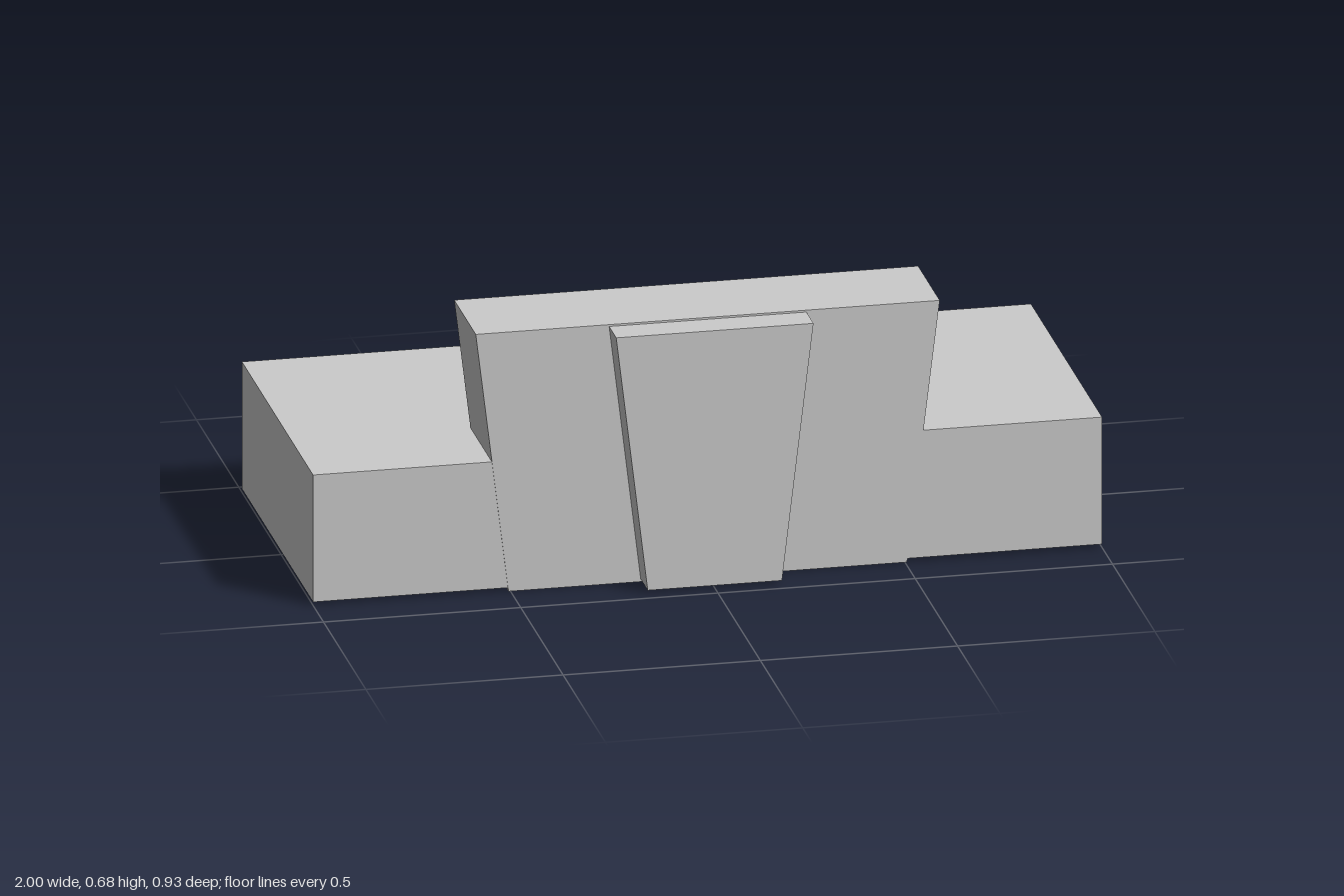
import * as THREE from 'three';

const material = new THREE.MeshStandardMaterial({ color: 0xcccccc, flatShading: true });

// Upright block with sides that splay from the bottom to the top half-width
function taperedBlock(name, halfBottom, halfTop, y0, y1, zBack, zFront) {
  const outline = new THREE.Shape([
    new THREE.Vector2(-halfBottom, y0),
    new THREE.Vector2(halfBottom, y0),
    new THREE.Vector2(halfTop, y1),
    new THREE.Vector2(-halfTop, y1),
  ]);
  const geometry = new THREE.ExtrudeGeometry(outline, { depth: zFront - zBack, bevelEnabled: false });
  geometry.translate(0, 0, zBack);
  const mesh = new THREE.Mesh(geometry, material);
  mesh.name = name;
  return mesh;
}

export function createModel() {
  const model = new THREE.Group();
  model.name = 'keystoneBlock';

  // Long rectangular slab
  const base = new THREE.Mesh(new THREE.BoxGeometry(2, 0.335, 0.84), material);
  base.name = 'base';
  base.position.set(0, 0.1765, -0.043);
  model.add(base);

  // Wide wedge through the front of the slab, and the narrow keystone on its face
  model.add(
    taperedBlock('wideWedge', 0.505, 0.588, 0, 0.684, 0.124, 0.379),
    taperedBlock('keystone', 0.17, 0.25, 0.007, 0.679, 0.3, 0.463),
  );
  return model;
}
